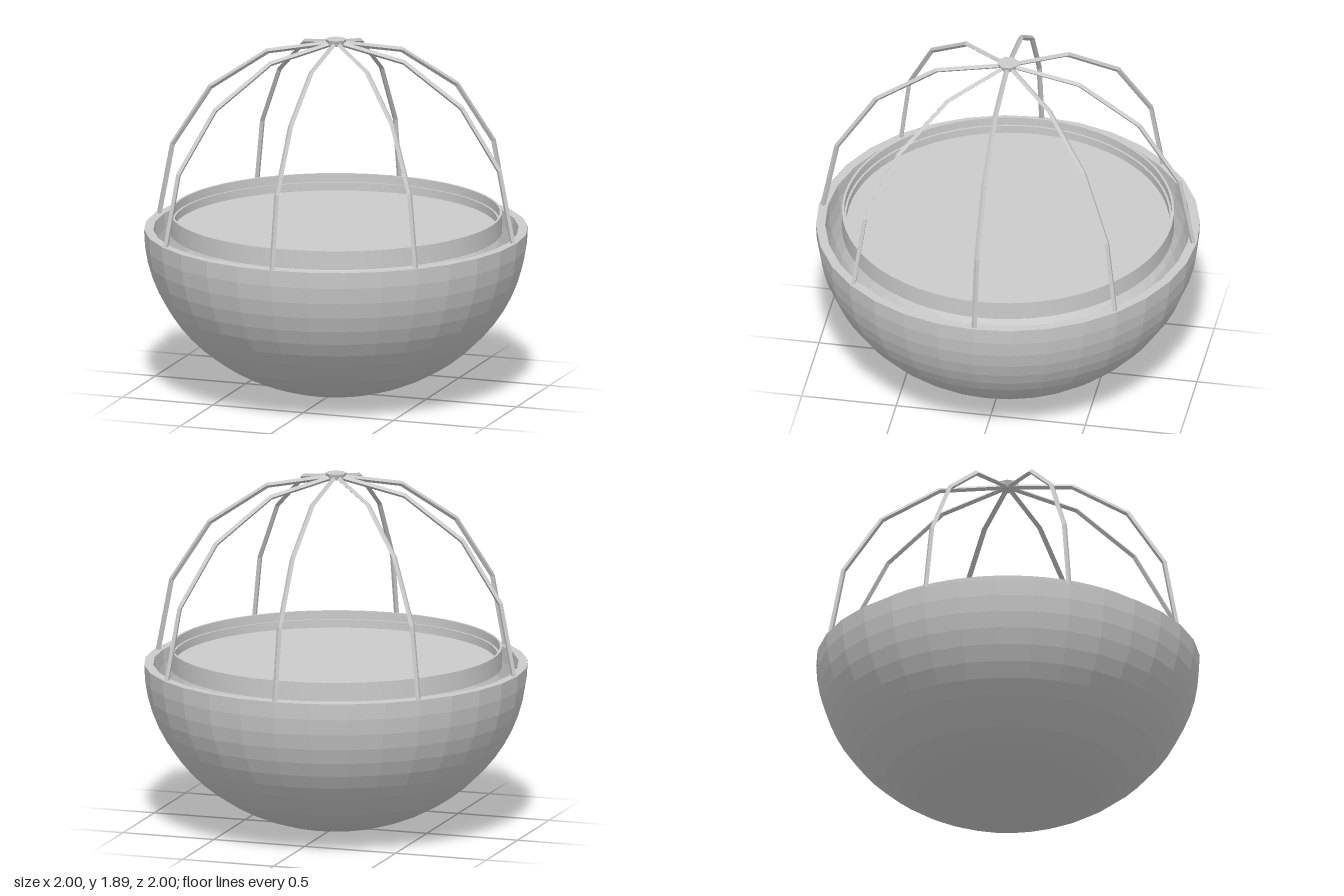
import * as THREE from 'three';
import { toCreasedNormals } from 'three/addons/utils/BufferGeometryUtils.js';

const RIM_Y = 0.875;
const RIB_R = 0.978;

// Quarter circle from the bowl rim up to the crown
class RibCurve extends THREE.Curve {
  getPoint(t, target = new THREE.Vector3()) {
    const a = t * Math.PI / 2;
    return target.set(RIB_R * Math.cos(a), RIM_Y + 0.995 * Math.sin(a), 0);
  }
}

// Elliptical bowl profile from the centre of the base to the rim
function bowlArc(radius, depth, steps) {
  const points = [];
  for (let i = 0; i <= steps; i++) {
    const a = (i / steps) * Math.PI / 2;
    points.push(new THREE.Vector2(radius * Math.sin(a), RIM_Y - depth * Math.cos(a)));
  }
  return points;
}

export function createModel() {
  const group = new THREE.Group();
  const flat = new THREE.MeshStandardMaterial({ color: 0xcccccc, flatShading: true });
  const smooth = new THREE.MeshStandardMaterial({ color: 0xcccccc });

  function add(name, geometry, material, parent = group) {
    const mesh = new THREE.Mesh(geometry, material);
    mesh.name = name;
    parent.add(mesh);
    return mesh;
  }

  // Thick-walled faceted bowl with a flat rim
  const profile = [...bowlArc(1, RIM_Y, 16), ...bowlArc(0.952, 0.827, 16).reverse()];
  add('bowl', new THREE.LatheGeometry(profile, 32), flat);

  // Round tray with a thin stepped lip and a recessed plate
  const tray = [
    [0, 0.86], [0.865, 0.86], [0.865, 0.96], [0.853, 0.96],
    [0.853, 0.915], [0.842, 0.915], [0.842, 0.872], [0, 0.872],
  ].map(([r, y]) => new THREE.Vector2(r, y));
  add('tray', toCreasedNormals(new THREE.LatheGeometry(tray, 64), 0.6), smooth);

  // Eight bent ribs of diamond section
  const ribs = new THREE.Group();
  ribs.name = 'ribs';
  group.add(ribs);
  const ribGeometry = new THREE.TubeGeometry(new RibCurve(), 4, 0.014, 4, false);
  for (let i = 0; i < 8; i++) {
    add('rib', ribGeometry, flat, ribs).rotation.y = i * Math.PI / 4;
  }

  // Flared crown joining the ribs
  const crown = add('crown', new THREE.CylinderGeometry(0.056, 0.044, 0.032, 8), flat);
  crown.position.y = 1.871;
  crown.rotation.y = Math.PI / 8;

  return group;
}
